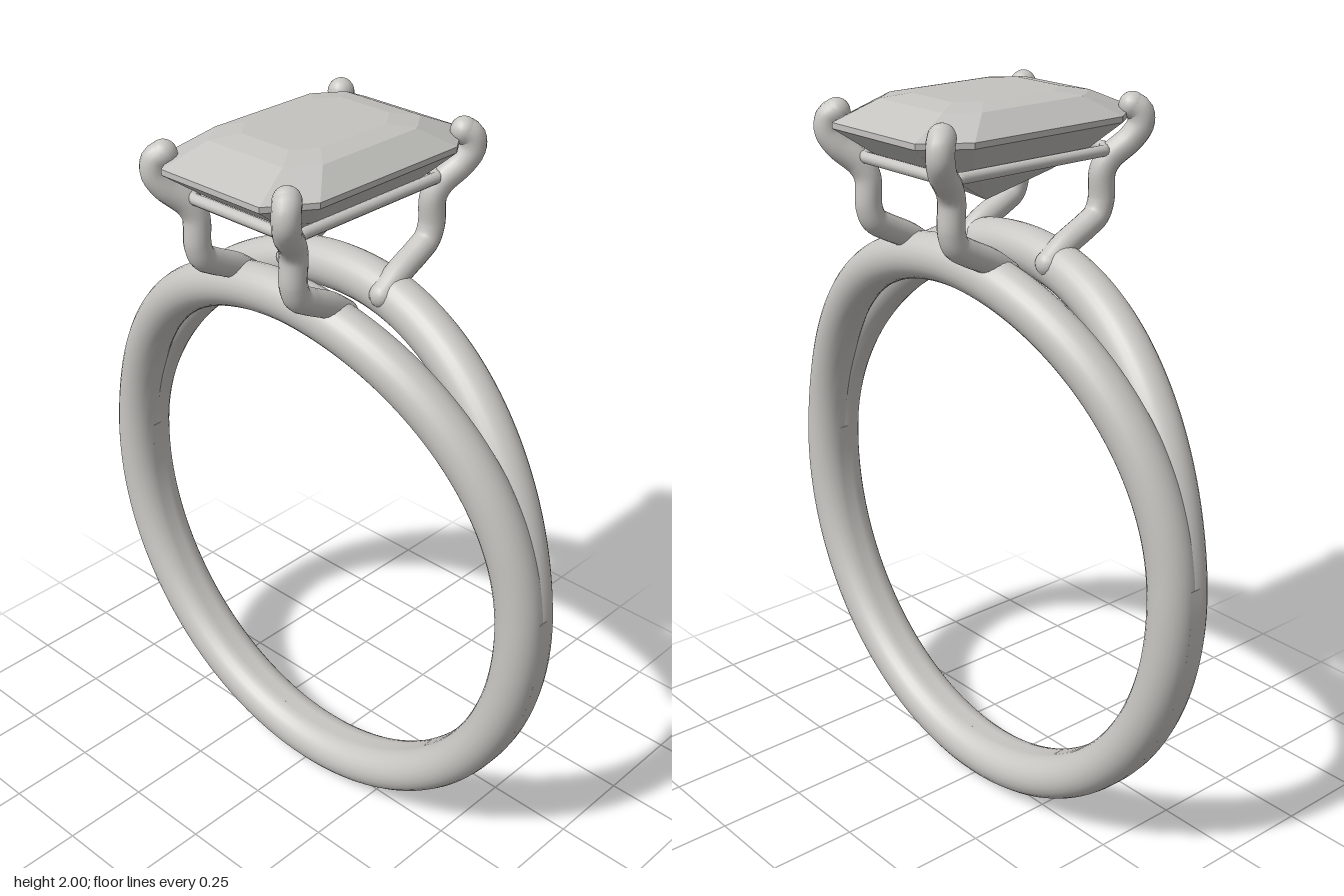
import * as THREE from 'three';
import { toCreasedNormals } from 'three/addons/utils/BufferGeometryUtils.js';

const V = (x, y, z) => new THREE.Vector3(x, y, z);
const A = 0.727, B = 0.757, CY = 0.82, R = 0.063; // band ellipse and wire radius
const SPLIT = 0.017; // half gap of the two wires where they are fused

export function createModel() {
  const model = new THREE.Group();
  const metal = new THREE.MeshStandardMaterial({ color: 0xc8c6c2 });
  metal.name = 'metal';
  const gem = new THREE.MeshStandardMaterial({ color: 0xc4c3c0, flatShading: true });
  gem.name = 'gem';

  const add = (parent, name, geometry, material) => {
    const mesh = new THREE.Mesh(geometry, material);
    mesh.name = name;
    parent.add(mesh);
    return mesh;
  };

  // Split band: two wires that part towards the top
  for (const side of [1, -1]) {
    const pts = [];
    for (let i = 0; i < 96; i++) {
      const t = (i / 96) * Math.PI * 2;
      const lift = THREE.MathUtils.radToDeg(Math.asin(Math.sin(t)));
      const z = SPLIT + 0.095 * THREE.MathUtils.smoothstep(lift, 6, 86);
      pts.push(V(A * Math.cos(t), CY + B * Math.sin(t), side * z));
    }
    const path = new THREE.CatmullRomCurve3(pts, true);
    add(model, side > 0 ? 'frontBandWire' : 'backBandWire',
      new THREE.TubeGeometry(path, 192, R, 24, true), metal);
  }

  // Flat web that fuses the wires round the lower half
  const web = new THREE.Shape();
  web.absellipse(0, CY, A + R, B + R, Math.PI - 0.1, Math.PI * 2 + 0.1, false);
  web.absellipse(0, CY, A - R, B - R, Math.PI * 2 + 0.1, Math.PI - 0.1, true);
  const webGeo = new THREE.ExtrudeGeometry(web, { depth: SPLIT * 2, bevelEnabled: false, curveSegments: 96 });
  webGeo.translate(0, 0, -SPLIT);
  add(model, 'bandWeb', toCreasedNormals(webGeo, 0.5), metal);

  // Four bent prongs with round ends
  const PR = 0.035;
  for (const sx of [1, -1]) for (const sz of [1, -1]) {
    const prong = new THREE.Group();
    prong.name = (sz > 0 ? 'front' : 'back') + (sx > 0 ? 'Left' : 'Right') + 'Prong';
    const pts = [
      [0.165, 1.572, 0.07], [0.165, 1.612, 0.125], [0.165, 1.65, 0.2], [0.165, 1.672, 0.235],
      [0.166, 1.71, 0.25], [0.168, 1.785, 0.25], [0.178, 1.82, 0.265], [0.208, 1.868, 0.31],
      [0.223, 1.905, 0.328], [0.221, 1.938, 0.325], [0.208, 1.952, 0.31],
    ].map(([x, y, z]) => V(sx * x, y, sz * z));
    add(prong, 'wire', new THREE.TubeGeometry(new THREE.CatmullRomCurve3(pts), 60, PR, 16), metal);
    for (const end of [pts[0], pts[pts.length - 1]]) {
      add(prong, 'roundEnd', new THREE.SphereGeometry(PR, 16, 12), metal).position.copy(end);
    }
    model.add(prong);
  }

  // Rectangle with cut corners, as [x, z] pairs turning from +x to +z
  const octagon = (hx, hz, cx, cz) => [
    [hx, -hz + cz], [hx, hz - cz], [hx - cx, hz], [-hx + cx, hz],
    [-hx, hz - cz], [-hx, -hz + cz], [-hx + cx, -hz], [hx - cx, -hz],
  ];

  // Thin rail under the stone
  const corners = octagon(0.186, 0.272, 0.035, 0.035).map(([x, z]) => V(x, 1.842, z));
  const rail = new THREE.CurvePath();
  corners.forEach((p, i) => rail.add(new THREE.LineCurve3(p, corners[(i + 1) % 8])));
  add(model, 'rail', new THREE.TubeGeometry(rail, 160, 0.015, 12, true), metal);

  // Step-cut stone: stacked octagons from table centre to the lower point
  const rings = [
    [2.0, 0, 0, 0, 0],
    [2.0, 0.125, 0.175, 0.045, 0.06],
    [1.988, 0.18, 0.24, 0.055, 0.075],
    [1.937, 0.245, 0.356, 0.08, 0.115],
    [1.922, 0.245, 0.356, 0.08, 0.115],
    [1.85, 0.175, 0.255, 0.05, 0.07],
    [1.8, 0.118, 0.158, 0.035, 0.045],
    [1.718, 0, 0, 0, 0],
  ].map(([y, ...size]) => octagon(...size).map(([x, z]) => [x, y, z]));
  const verts = [];
  for (let r = 0; r < rings.length - 1; r++) {
    for (let i = 0; i < 8; i++) {
      const j = (i + 1) % 8;
      const a = rings[r][i], b = rings[r][j], c = rings[r + 1][i], d = rings[r + 1][j];
      if (r > 0) verts.push(...a, ...b, ...c);
      if (r < rings.length - 2) verts.push(...b, ...d, ...c);
    }
  }
  const stone = new THREE.BufferGeometry();
  stone.setAttribute('position', new THREE.Float32BufferAttribute(verts, 3));
  stone.computeVertexNormals();
  add(model, 'stone', stone, gem);

  return model;
}
